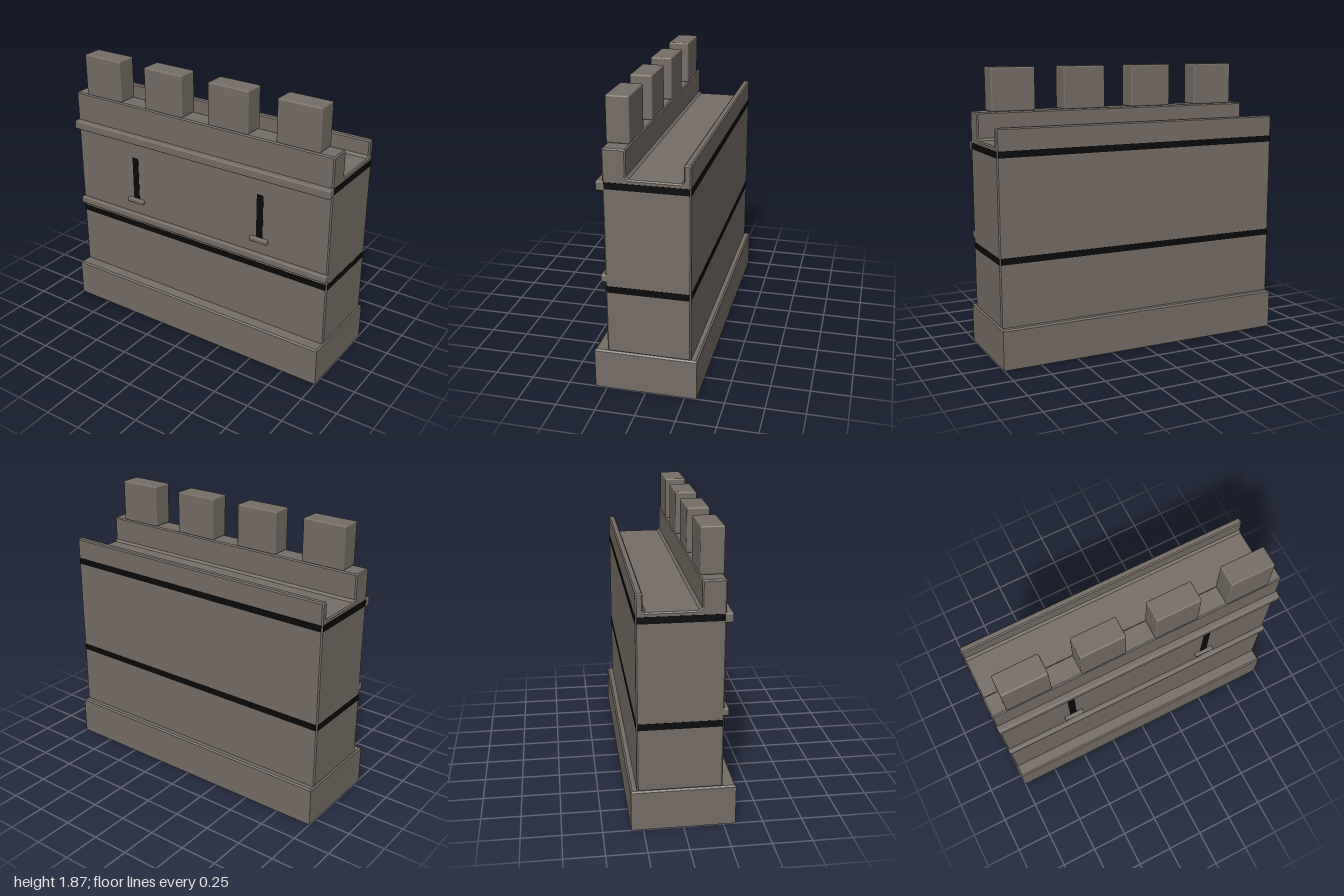
import * as THREE from 'three';
import { RoundedBoxGeometry } from 'three/addons/geometries/RoundedBoxGeometry.js';

const stone = new THREE.MeshStandardMaterial({ color: 0x766d66, side: THREE.DoubleSide });
stone.name = 'stone';
const black = new THREE.MeshStandardMaterial({ color: 0x0a0a0a });
black.name = 'black';

const FRONT = 0.24, BACK = -0.287, HALF = 0.998;

export function createModel() {
  const model = new THREE.Group();
  model.name = 'castleWall';

  const add = (name, geometry, material) => {
    const mesh = new THREE.Mesh(geometry, material);
    mesh.name = name;
    model.add(mesh);
    return mesh;
  };
  // Box given by its [min, max] range on each axis, with optional soft edges
  const block = (name, [x0, x1], [y0, y1], [z0, z1], material, radius = 0) => {
    const size = [x1 - x0, y1 - y0, z1 - z0];
    const geometry = radius
      ? new RoundedBoxGeometry(...size, 2, radius)
      : new THREE.BoxGeometry(...size);
    add(name, geometry, material)
      .position.set((x0 + x1) / 2, (y0 + y1) / 2, (z0 + z1) / 2);
  };

  // Plinth: a shell open underneath, with a chamfered top edge
  const h = 0.265, c = 0.01;
  const shell = new THREE.BoxGeometry(2, h, 0.65, 1, 2, 1);
  const p = shell.attributes.position;
  for (let i = 0; i < p.count; i++) {
    const y = p.getY(i);
    if (y > 0.01) {
      p.setX(i, p.getX(i) - Math.sign(p.getX(i)) * c);
      p.setZ(i, p.getZ(i) - Math.sign(p.getZ(i)) * c);
    } else if (y > -0.01) p.setY(i, h / 2 - c);
  }
  const bottom = shell.groups[3];
  const index = Array.from(shell.index.array);
  index.splice(bottom.start, bottom.count);
  shell.setIndex(index);
  shell.clearGroups();
  const plinth = shell.toNonIndexed();
  plinth.computeVertexNormals();
  plinth.translate(0, h / 2, 0);
  add('plinth', plinth, stone);

  // Wall body, walkway, front parapet and rear lip as one (z, y) profile
  const b = 0.008, f = 0.015, floor = 1.405, lip = -0.243, inner = 0.097;
  const profile = new THREE.Shape([
    [BACK, h], [FRONT, h],
    [FRONT, 1.585 - b], [FRONT - b, 1.585], [inner + b, 1.585], [inner, 1.585 - b],
    [inner, floor + f], [inner - f, floor], [lip + f, floor], [lip, floor + f],
    [lip, 1.52 - b], [lip - b, 1.52], [BACK + b, 1.52], [BACK, 1.52 - b],
  ].map(([z, y]) => new THREE.Vector2(z, y)));
  const wall = new THREE.ExtrudeGeometry(profile, {
    depth: 2 * (HALF - b), bevelEnabled: true, bevelThickness: b,
    bevelSize: b, bevelOffset: -b, bevelSegments: 1,
  });
  wall.translate(0, 0, -(HALF - b));
  wall.rotateY(-Math.PI / 2);
  add('wall', wall, stone);

  // Merlons
  for (const x of [-0.75, -0.25, 0.25, 0.75])
    block('merlon', [x - 0.15, x + 0.15], [1.585, 1.87], [inner, FRONT], stone, 0.01);

  // Mouldings across the front
  block('upperMoulding', [-1, 1], [1.325, 1.385], [FRONT - 0.02, 0.282], stone, 0.01);
  block('lowerMoulding', [-1, 1], [0.738, 0.788], [FRONT - 0.02, 0.268], stone, 0.01);

  // Black bands round the wall, as thin plates
  const t = 0.002;
  for (const band of [[0.672, 0.714], [1.338, 1.38]]) {
    for (const z of [FRONT, BACK])
      block('band', [-0.99, 0.99], band, [z - t, z + t], black);
    for (const x of [-HALF, HALF])
      block('bandEnd', [x - t, x + t], band, [BACK + 0.008, FRONT - 0.008], black);
  }

  // Arrow slits with sills
  for (const x of [-0.5, 0.5]) {
    block('arrowSlit', [x - 0.024, x + 0.024], [0.9, 1.205], [FRONT - t, FRONT + t], black);
    block('sill', [x - 0.067, x + 0.067], [0.87, 0.902], [FRONT - 0.02, 0.264], stone, 0.008);
  }
  return model;
}
